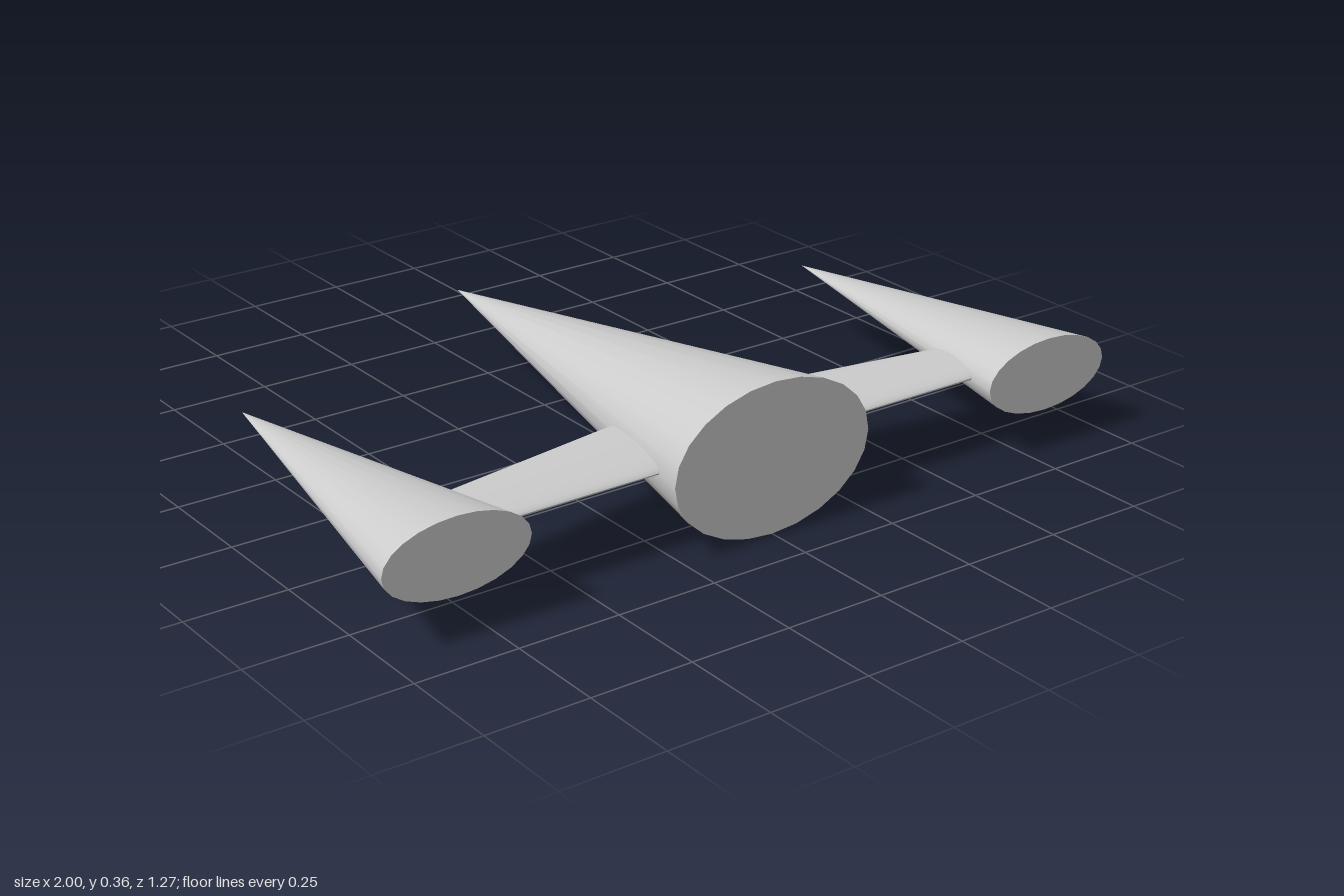
import * as THREE from 'three';

const material = new THREE.MeshStandardMaterial({ color: 0xcccccc });
const AXIS_Y = 0.182;
const REAR_Z = 0.635;

// Elliptical cone with a flat base at +z and its tip towards -z
function spike(name, x, rx, ry, length) {
  const geometry = new THREE.ConeGeometry(1, length, 24);
  geometry.rotateX(-Math.PI / 2);
  geometry.scale(rx, ry, 1);
  const mesh = new THREE.Mesh(geometry, material);
  mesh.name = name;
  mesh.position.set(x, AXIS_Y, REAR_Z - length / 2);
  return mesh;
}

// Elliptical strut running outwards, with one straight and one swept edge
function strut(name, side) {
  const span = 0.8;
  const geometry = new THREE.CylinderGeometry(1, 1, span, 24);
  geometry.rotateZ(-Math.PI / 2);
  geometry.translate(span / 2, 0, 0);
  const p = geometry.attributes.position;
  const straightEdge = 0.557;
  for (let i = 0; i < p.count; i++) {
    const sweptEdge = 0.263 + 0.163 * p.getX(i);
    const middle = (straightEdge + sweptEdge) / 2;
    const half = (straightEdge - sweptEdge) / 2;
    p.setY(i, p.getY(i) * 0.02);
    p.setZ(i, middle + p.getZ(i) * half);
  }
  if (side < 0) {
    // Mirror the strut and restore the face winding
    geometry.scale(-1, 1, 1);
    const index = geometry.index;
    for (let i = 0; i < index.count; i += 3) {
      const a = index.getX(i);
      index.setX(i, index.getX(i + 1));
      index.setX(i + 1, a);
    }
  }
  geometry.computeVertexNormals();
  const mesh = new THREE.Mesh(geometry, material);
  mesh.name = name;
  mesh.position.y = AXIS_Y + 0.003;
  return mesh;
}

export function createModel() {
  const model = new THREE.Group();
  model.name = 'spacecraft';
  model.add(spike('hull', 0, 0.27, 0.182, 1.27));
  for (const [label, side] of [['left', 1], ['right', -1]]) {
    model.add(spike(label + 'Pod', side * 0.819, 0.181, 0.09, 0.9));
    model.add(strut(label + 'Strut', side));
  }
  return model;
}
